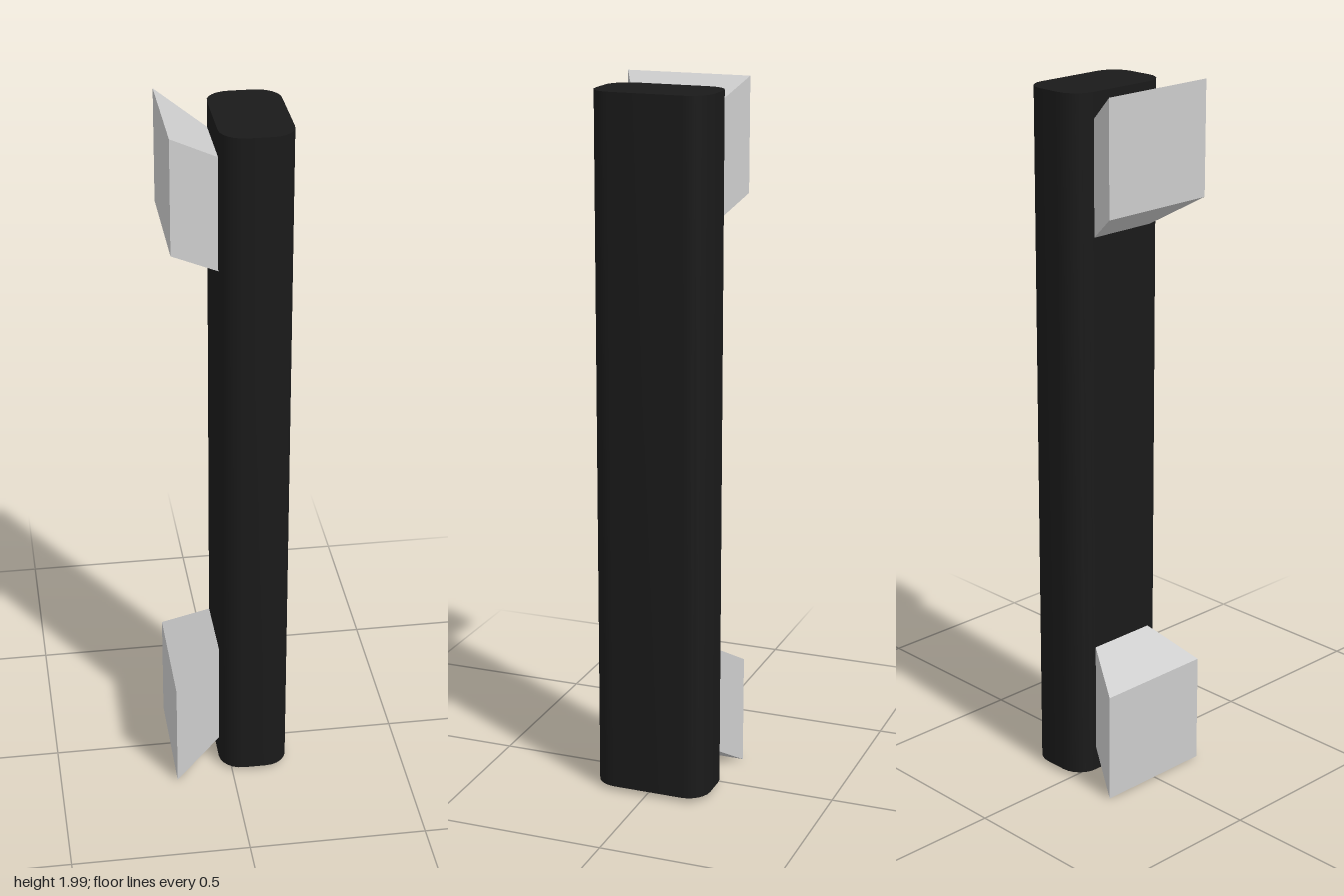
import * as THREE from 'three';
import { toCreasedNormals } from 'three/addons/utils/BufferGeometryUtils.js';

const BACK_X = -0.164, JOIN_X = -0.032, FRONT_X = 0.164;

// Upright bar: rounded rectangle, extruded upward
function makeBar() {
  const hx = (FRONT_X - JOIN_X) / 2, hz = 0.166, r = 0.065;
  const shape = new THREE.Shape();
  shape.absarc(hx - r, hz - r, r, 0, Math.PI / 2);
  shape.absarc(-hx + r, hz - r, r, Math.PI / 2, Math.PI);
  shape.absarc(-hx + r, -hz + r, r, Math.PI, Math.PI * 1.5);
  shape.absarc(hx - r, -hz + r, r, Math.PI * 1.5, Math.PI * 2);
  shape.closePath();
  const height = 1.965;
  const geo = new THREE.ExtrudeGeometry(shape, { depth: height, bevelEnabled: false, curveSegments: 3 });
  geo.rotateX(-Math.PI / 2);
  geo.translate((FRONT_X + JOIN_X) / 2, 0.02, -0.005);
  const material = new THREE.MeshStandardMaterial({ color: 0x1a1a1a });
  const mesh = new THREE.Mesh(toCreasedNormals(geo, 0.8), material);
  mesh.name = 'bar';
  return mesh;
}

// Mounting block: box that narrows and slants toward the bar
function makeMount(name, centreY, slant, material) {
  const geo = new THREE.BoxGeometry(JOIN_X - BACK_X, 0.316, 0.352);
  const pos = geo.attributes.position;
  for (let i = 0; i < pos.count; i++) {
    if (pos.getX(i) > 0) {
      pos.setY(i, pos.getY(i) + slant);
      pos.setZ(i, pos.getZ(i) * 0.585);
    }
  }
  geo.computeVertexNormals();
  geo.translate((BACK_X + JOIN_X) / 2, centreY, -0.001);
  const mesh = new THREE.Mesh(geo, material);
  mesh.name = name;
  return mesh;
}

export function createModel() {
  const group = new THREE.Group();
  group.name = 'pullHandle';
  const grey = new THREE.MeshStandardMaterial({ color: 0xcccccc });
  group.add(makeBar());
  group.add(makeMount('upperMount', 1.842, -0.085, grey));
  group.add(makeMount('lowerMount', 0.165, 0.085, grey));
  return group;
}
